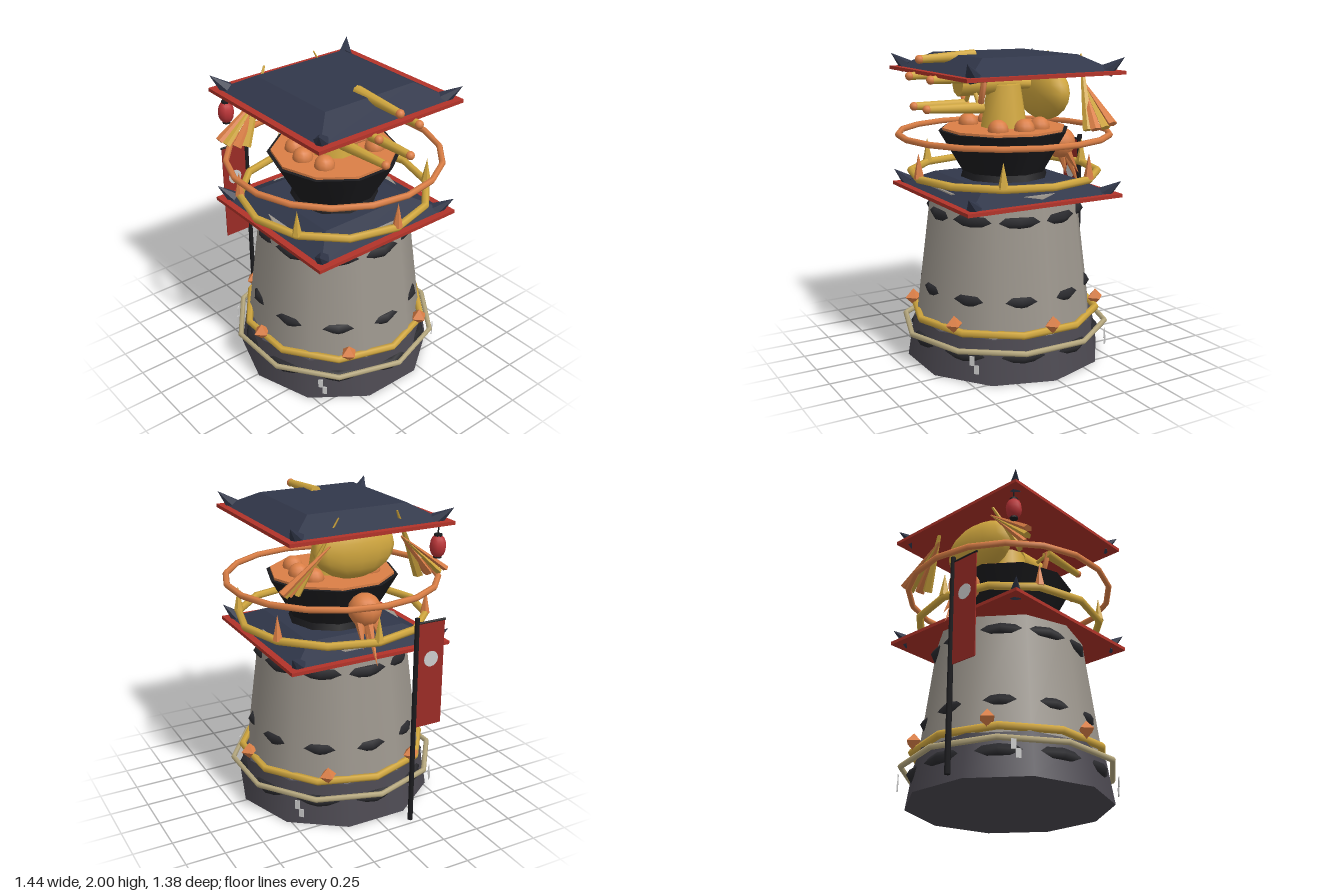
import * as THREE from 'three';

const mat = (color, opts = {}) => new THREE.MeshStandardMaterial({ color, ...opts });
const M = {
  stone: mat(0x9c968d), base: mat(0x4c4951), band: mat(0x2a2a2e), black: mat(0x1c1c1f),
  navy: mat(0x31374a, { flatShading: true }), red: mat(0xb23329), gold: mat(0xd2a83f),
  orange: mat(0xdb7f46), ivory: mat(0xb8aa80), lantern: mat(0xbb3437), pale: mat(0xcccccc),
  gem: mat(0xdb7f46, { flatShading: true }), goldFlat: mat(0xd2a83f, { flatShading: true }),
  cloth: mat(0x9a2b25, { side: THREE.DoubleSide }),
};
const V = (x, y, z) => new THREE.Vector3(x, y, z);
const UP = V(0, 1, 0);

export function createModel() {
  const root = new THREE.Group();
  root.name = 'watchtower';
  const tower = new THREE.Group();
  tower.name = 'tower';
  tower.position.x = 0.014;
  root.add(tower);

  const add = (name, geo, material, x = 0, y = 0, z = 0, parent = tower) => {
    const m = new THREE.Mesh(geo, material);
    m.name = name;
    m.position.set(x, y, z);
    parent.add(m);
    return m;
  };
  // Tapered round part standing between two heights
  const drum = (name, material, y0, y1, r0, r1, sides = 10) =>
    add(name, new THREE.CylinderGeometry(r1, r0, y1 - y0, sides), material, 0, (y0 + y1) / 2, 0);
  // Tapered rod between two points
  const rod = (name, material, a, b, ra, rb, sides = 8, parent = tower) => {
    const d = b.clone().sub(a);
    const c = a.clone().add(b).multiplyScalar(0.5);
    const m = add(name, new THREE.CylinderGeometry(rb, ra, d.length(), sides), material, c.x, c.y, c.z, parent);
    m.quaternion.setFromUnitVectors(UP, d.normalize());
    return m;
  };
  const ring = (name, material, y, R, tube, sides, tubeSides = 6) => {
    const m = add(name, new THREE.TorusGeometry(R, tube, tubeSides, sides), material, 0, y, 0);
    m.rotation.x = Math.PI / 2;
    return m;
  };
  const ball = (name, material, p, sx, sy = sx, sz = sx, w = 12, h = 8) => {
    const m = add(name, new THREE.SphereGeometry(1, w, h), material, p.x, p.y, p.z);
    m.scale.set(sx, sy, sz);
    return m;
  };

  // Body
  drum('foundation', M.base, 0, 0.28, 0.65, 0.605);
  drum('towerWall', M.stone, 0.28, 1.14, 0.588, 0.478);
  ring('foundationBand', M.band, 0.165, 0.6, 0.038, 10);
  ring('lowerBand', M.band, 0.495, 0.53, 0.036, 10);
  ring('upperBand', M.band, 0.985, 0.48, 0.036, 10);

  // Rings round the tower
  ring('ivoryRing', M.ivory, 0.215, 0.675, 0.018, 10);
  ring('lowerGoldRing', M.gold, 0.308, 0.61, 0.024, 10);
  ring('upperGoldRing', M.gold, 1.22, 0.607, 0.025, 12);
  ring('orangeRing', M.orange, 1.472, 0.68, 0.02, 18);

  for (let i = 0; i < 6; i++) {
    const a = (i * Math.PI) / 3;
    add('gem', new THREE.OctahedronGeometry(0.057), M.gem, 0.61 * Math.sin(a), 0.355, 0.61 * Math.cos(a));
    add('ringSpike', new THREE.ConeGeometry(0.033, 0.16, 6), i % 2 ? M.goldFlat : M.gem,
      0.605 * Math.cos(a), 1.305, 0.605 * Math.sin(a));
  }

  // Paper tags on the four diagonals
  for (let i = 0; i < 4; i++) {
    const g = new THREE.Group();
    g.name = 'paperTag';
    g.rotation.y = Math.PI / 4 + (i * Math.PI) / 2;
    tower.add(g);
    add('tagTop', new THREE.BoxGeometry(0.03, 0.06, 0.006), M.pale, -0.013, 0.17, 0.685, g);
    add('tagBottom', new THREE.BoxGeometry(0.03, 0.055, 0.006), M.pale, 0.013, 0.115, 0.685, g);
  }

  // Two square roofs with upturned corner horns
  for (const [name, y, h] of [['lowerRoof', 1.085, 0.085], ['upperRoof', 1.857, 0.095]]) {
    const g = new THREE.Group();
    g.name = name;
    g.position.y = y;
    tower.add(g);
    add('eave', new THREE.BoxGeometry(1.1, 0.022, 1.1), M.red, 0, 0.011, 0, g);
    const top = new THREE.CylinderGeometry(0.336 * Math.SQRT2, 0.505 * Math.SQRT2, h, 4);
    add('roofTop', top, M.navy, 0, 0.022 + h / 2, 0, g).rotation.y = Math.PI / 4;
    for (const sx of [-1, 1]) for (const sz of [-1, 1])
      rod('cornerHorn', M.navy, V(sx * 0.465, 0.02, sz * 0.465), V(sx * 0.542, 0.105, sz * 0.542), 0.048, 0, 6, g);
  }

  // Flared platform
  drum('neck', M.black, 1.14, 1.24, 0.3, 0.27);
  drum('platform', M.black, 1.22, 1.495, 0.265, 0.425);
  drum('deck', M.orange, 1.48, 1.51, 0.4, 0.4);
  for (const s of [-1, 1])
    for (const [x, z] of [[-0.145, 0.2], [-0.01, 0.24], [0.155, 0.2]])
      ball('deckStud', M.orange, V(x, 1.52, s * z), 0.065);

  // Rotating gun
  drum('pedestal', M.gold, 1.505, 1.78, 0.152, 0.108);
  ball('counterweight', M.gold, V(-0.29, 1.72, 0), 0.115, 0.185, 0.275, 14, 10);
  rod('gunArm', M.gold, V(-0.22, 1.77, 0), V(0.12, 1.793, 0), 0.032, 0.042);
  rod('hub', M.gold, V(0.09, 1.793, 0), V(0.33, 1.793, 0), 0.075, 0.075);
  const frame = add('barrelRing', new THREE.TorusGeometry(0.175, 0.02, 6, 5), M.orange, 0.228, 1.793, 0);
  frame.rotation.set(0, Math.PI / 2, Math.PI / 2, 'YXZ');
  for (let i = 0; i < 5; i++) {
    const a = (i * Math.PI * 2) / 5;
    const at = (x, r) => V(x, 1.793 + r * Math.cos(a), r * Math.sin(a));
    rod('barrel', M.gold, at(0.212, 0.175), at(0.585, 0.162), 0.036, 0.024);
    rod('spoke', M.gold, at(0.228, 0.05), at(0.228, 0.17), 0.014, 0.014, 6);
    ball('barrelTip', M.orange, at(0.585, 0.162), 0.027);
  }

  // Feather fans spreading from the back of the gun
  for (const s of [-1, 1])
    [[-0.45, 1.56, 0.56], [-0.42, 1.535, 0.53], [-0.38, 1.52, 0.48], [-0.365, 1.51, 0.42]].forEach(([x, y, z], i) => {
      const start = i === 3 ? V(-0.455, 1.965, s * 0.195) : V(-0.44, 1.8, s * 0.24);
      const f = rod('feather', i % 2 ? M.goldFlat : M.gem, start, V(x, y, s * z), 0.007, 0.034, 5);
      f.scale.z = 0.6;
    });

  // Hanging orange bulb with tendrils
  ball('bulb', M.orange, V(-0.43, 1.37, 0), 0.105);
  for (const [x, y, z] of [[-0.595, 1.05, 0], [-0.54, 1.16, 0.07], [-0.54, 1.16, -0.07], [-0.48, 1.15, 0]])
    rod('tendril', M.gem, V(-0.44 + (x + 0.5) * 0.3, 1.32, z * 0.7), V(x, y, z), 0.034, 0, 6);

  // Lantern under the front corner
  ball('lantern', M.lantern, V(-0.485, 1.72, 0.475), 0.052, 0.074, 0.052, 10, 8);
  for (const y of [1.655, 1.787])
    add('lanternCap', new THREE.CylinderGeometry(0.026, 0.026, 0.018, 8), M.black, -0.485, y, 0.475);
  rod('lanternCord', M.black, V(-0.485, 1.78, 0.475), V(-0.485, 1.86, 0.475), 0.005, 0.005, 5);

  // Banner on its pole
  const banner = new THREE.Group();
  banner.name = 'banner';
  banner.position.set(-0.706, 0, 0.19);
  root.add(banner);
  rod('pole', M.black, V(0, 0, 0), V(0, 1.375, 0), 0.018, 0.016, 6, banner);
  rod('crossbar', M.black, V(0, 1.34, 0), V(0, 1.34, 0.2), 0.008, 0.008, 6, banner);
  add('cloth', new THREE.BoxGeometry(0.006, 0.68, 0.18), M.cloth, 0, 0.995, 0.105, banner);
  const dot = add('roundel', new THREE.CylinderGeometry(0.05, 0.05, 0.012, 16), M.pale, 0, 1.1, 0.105, banner);
  dot.rotation.z = Math.PI / 2;

  return root;
}
